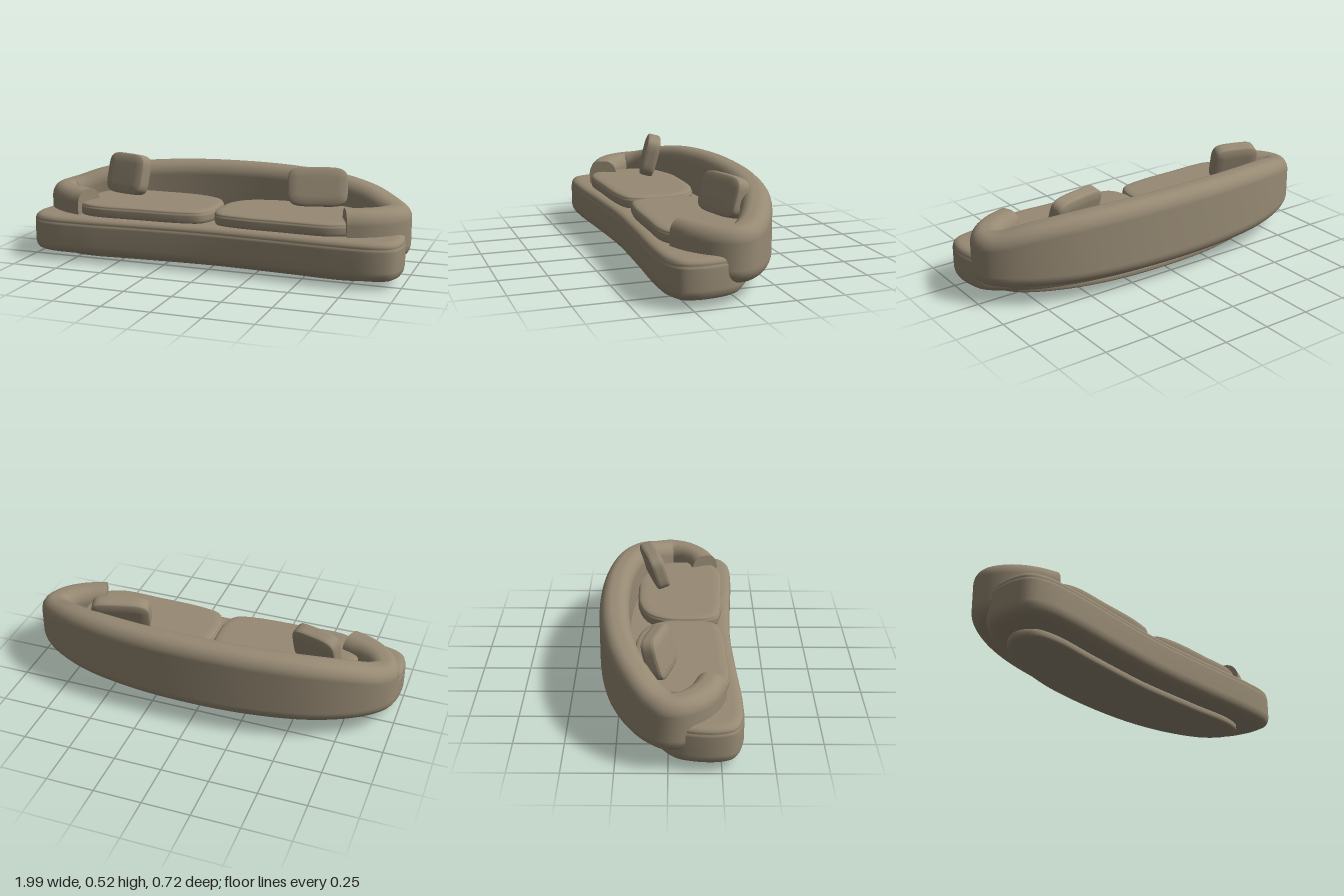
import * as THREE from 'three';

const fabric = new THREE.MeshStandardMaterial({ color: 0x978a74 });
fabric.name = 'taupe fabric';

function buildGeometry(positions, index) {
  const g = new THREE.BufferGeometry();
  g.setAttribute('position', new THREE.Float32BufferAttribute(positions, 3));
  g.setIndex(index);
  g.computeVertexNormals();
  return g;
}

function addMesh(parent, name, geometry) {
  const m = new THREE.Mesh(geometry, fabric);
  m.name = name;
  parent.add(m);
  return m;
}

// Smooth closed outline in plan through [x, z] points
function smoothOutline(points, count = 160) {
  const curve = new THREE.CatmullRomCurve3(points.map(([x, z]) => new THREE.Vector3(x, 0, z)), true);
  return curve.getSpacedPoints(count).slice(0, count).map((p) => [p.x, p.z]);
}

// Half outline (x >= 0, from the back middle to the front middle) mirrored to a full one
function mirrored(half) {
  return [...half, ...half.slice(1, -1).reverse().map(([x, z]) => [-x, z])];
}

// Padded solid: a plan outline shrunk by [inset, y] steps from bottom to top, with capped ends
function padded(outline, profile) {
  const n = outline.length;
  const area = outline.reduce((s, [x, z], i) => {
    const [x2, z2] = outline[(i + 1) % n];
    return s + x * z2 - x2 * z;
  }, 0);
  const pts = area > 0 ? outline : [...outline].reverse();
  const cx = pts.reduce((s, p) => s + p[0], 0) / n;
  const cz = pts.reduce((s, p) => s + p[1], 0) / n;
  const pos = [], idx = [];
  for (const [inset, y] of profile) {
    pts.forEach(([x, z], i) => {
      const a = pts[(i + n - 1) % n], b = pts[(i + 1) % n];
      const tx = b[0] - a[0], tz = b[1] - a[1], l = Math.hypot(tx, tz);
      pos.push(x - (tz / l) * inset, y, z + (tx / l) * inset);
    });
  }
  const last = (profile.length - 1) * n, bottom = profile.length * n, top = bottom + 1;
  pos.push(cx, profile[0][1], cz, cx, profile[profile.length - 1][1], cz);
  for (let i = 0; i < n; i++) {
    const k = (i + 1) % n;
    for (let j = 0; j < profile.length - 1; j++) {
      const a = j * n + i, b = j * n + k, c = a + n, d = b + n;
      idx.push(a, c, b, b, c, d);
    }
    idx.push(bottom, i, k, top, last + k, last + i);
  }
  return buildGeometry(pos, idx);
}

// Section with elliptical corners, centred on 0
function roundedSection(w, h, rx, ry) {
  const out = [];
  [[1, 1], [-1, 1], [-1, -1], [1, -1]].forEach(([sx, sy], q) => {
    for (let i = 0; i <= 8; i++) {
      const a = (q + i / 8) * Math.PI / 2;
      out.push([sx * (w / 2 - rx) + rx * Math.cos(a), sy * (h / 2 - ry) + ry * Math.sin(a)]);
    }
  });
  return out;
}

// Wraparound backrest: section swept along a plan path whose y gives the top height
function backrestGeometry() {
  const half = [[0, 0.475, -0.283], [0.3, 0.47, -0.267], [0.58, 0.452, -0.213], [0.77, 0.418, -0.133],
    [0.88, 0.379, -0.052], [0.92, 0.366, 0.012], [0.885, 0.365, 0.095], [0.8, 0.365, 0.165], [0.7, 0.365, 0.205]];
  const all = [...half.slice(1).reverse().map(([x, y, z]) => [-x, y, z]), ...half];
  const curve = new THREE.CatmullRomCurve3(all.map((p) => new THREE.Vector3(...p)));
  const steps = 140, bottom = 0.095, pos = [], idx = [];
  let n = 0;
  for (let s = 0; s <= steps; s++) {
    const p = curve.getPointAt(s / steps), t = curve.getTangentAt(s / steps);
    const l = Math.hypot(t.x, t.z), nx = t.z / l, nz = -t.x / l;
    const section = roundedSection(0.154, p.y - bottom, 0.064, 0.072);
    n = section.length;
    for (const [u, v] of section) pos.push(p.x + nx * u, (p.y + bottom) / 2 + v, p.z + nz * u);
  }
  for (let s = 0; s < steps; s++) {
    for (let i = 0; i < n; i++) {
      const a = s * n + i, b = s * n + (i + 1) % n, c = a + n, d = b + n;
      idx.push(a, b, c, b, d, c);
    }
  }
  // Flat arm ends with their own corners for a crisp edge
  for (const s of [0, steps]) {
    const base = pos.length / 3;
    pos.push(...pos.slice(s * n * 3, (s + 1) * n * 3));
    for (let i = 1; i < n - 1; i++) {
      if (s === 0) idx.push(base, base + i + 1, base + i);
      else idx.push(base, base + i, base + i + 1);
    }
  }
  return buildGeometry(pos, idx);
}

// Throw pillow with a soft piped rim, leaning back and turned
function addPillow(parent, name, [w, h, t], position, yaw, tilt) {
  const outline = [];
  for (let i = 0; i < 96; i++) {
    const a = (i / 96) * Math.PI * 2, c = Math.cos(a), s = Math.sin(a);
    outline.push([Math.sign(c) * Math.abs(c) ** 0.45 * w / 2, Math.sign(s) * Math.abs(s) ** 0.45 * h / 2]);
  }
  const side = [[0, 0.2], [0, 0.29], [0.004, 0.32], [0.001, 0.35], [0.006, 0.39], [0.014, 0.43], [0.028, 0.47], [0.04, 0.49], [0.05, 0.5]];
  const profile = [...side.map(([i, y]) => [i, -y * t]).reverse(), ...side.map(([i, y]) => [i, y * t])];
  const m = addMesh(parent, name, padded(outline, profile));
  m.rotation.set(Math.PI / 2 - tilt, yaw, 0, 'YXZ');
  m.position.set(...position);
}

export function createModel() {
  const sofa = new THREE.Group();
  sofa.name = 'sofa';

  // Recessed plinth
  const plinth = smoothOutline(mirrored([[0, -0.205], [0.35, -0.18], [0.62, -0.105], [0.79, -0.005], [0.85, 0.1],
    [0.81, 0.195], [0.7, 0.225], [0.4, 0.208], [0, 0.19]]));
  addMesh(sofa, 'plinth', padded(plinth, [[0.02, 0], [0.006, 0.003], [0, 0.012], [0, 0.03], [0.006, 0.038], [0.012, 0.045]]));

  // Bean-shaped base with a seam below the top edge
  const base = smoothOutline(mirrored([[0, -0.25], [0.4, -0.222], [0.7, -0.145], [0.87, -0.05], [0.96, 0.03],
    [0.99, 0.12], [0.995, 0.23], [0.965, 0.31], [0.88, 0.35], [0.7, 0.357], [0.35, 0.338], [0, 0.325]]), 220);
  addMesh(sofa, 'base', padded(base, [[0.06, 0.038], [0.035, 0.04], [0.016, 0.05], [0.005, 0.067], [0, 0.09],
    [0, 0.19], [0.001, 0.202], [0.008, 0.205], [0.002, 0.208], [0.006, 0.221], [0.016, 0.231], [0.032, 0.236], [0.05, 0.237]]));

  addMesh(sofa, 'backrest', backrestGeometry());

  // Pair of seat cushions meeting in the middle
  const seat = [[0.002, 0.09], [0.012, -0.02], [0.07, -0.11], [0.2, -0.162], [0.4, -0.172], [0.58, -0.165],
    [0.71, -0.11], [0.762, 0.0], [0.765, 0.12], [0.735, 0.235], [0.65, 0.287], [0.4, 0.29], [0.15, 0.279],
    [0.045, 0.25], [0.008, 0.18]];
  for (const side of [1, -1]) {
    const outline = smoothOutline(seat.map(([x, z]) => [x * side, z]));
    addMesh(sofa, side > 0 ? 'leftSeatCushion' : 'rightSeatCushion', padded(outline, [[0.014, 0.23], [0.004, 0.24],
      [0, 0.252], [0, 0.277], [0.001, 0.284], [0.007, 0.287], [0.003, 0.29], [0.008, 0.296], [0.018, 0.3], [0.035, 0.302], [0.05, 0.303]]));
  }

  addPillow(sofa, 'rightPillow', [0.25, 0.222, 0.088], [-0.578, 0.41, -0.045], -0.3, 0.26);
  addPillow(sofa, 'leftPillow', [0.312, 0.205, 0.085], [0.482, 0.402, -0.085], 0.25, 0.28);
  return sofa;
}
